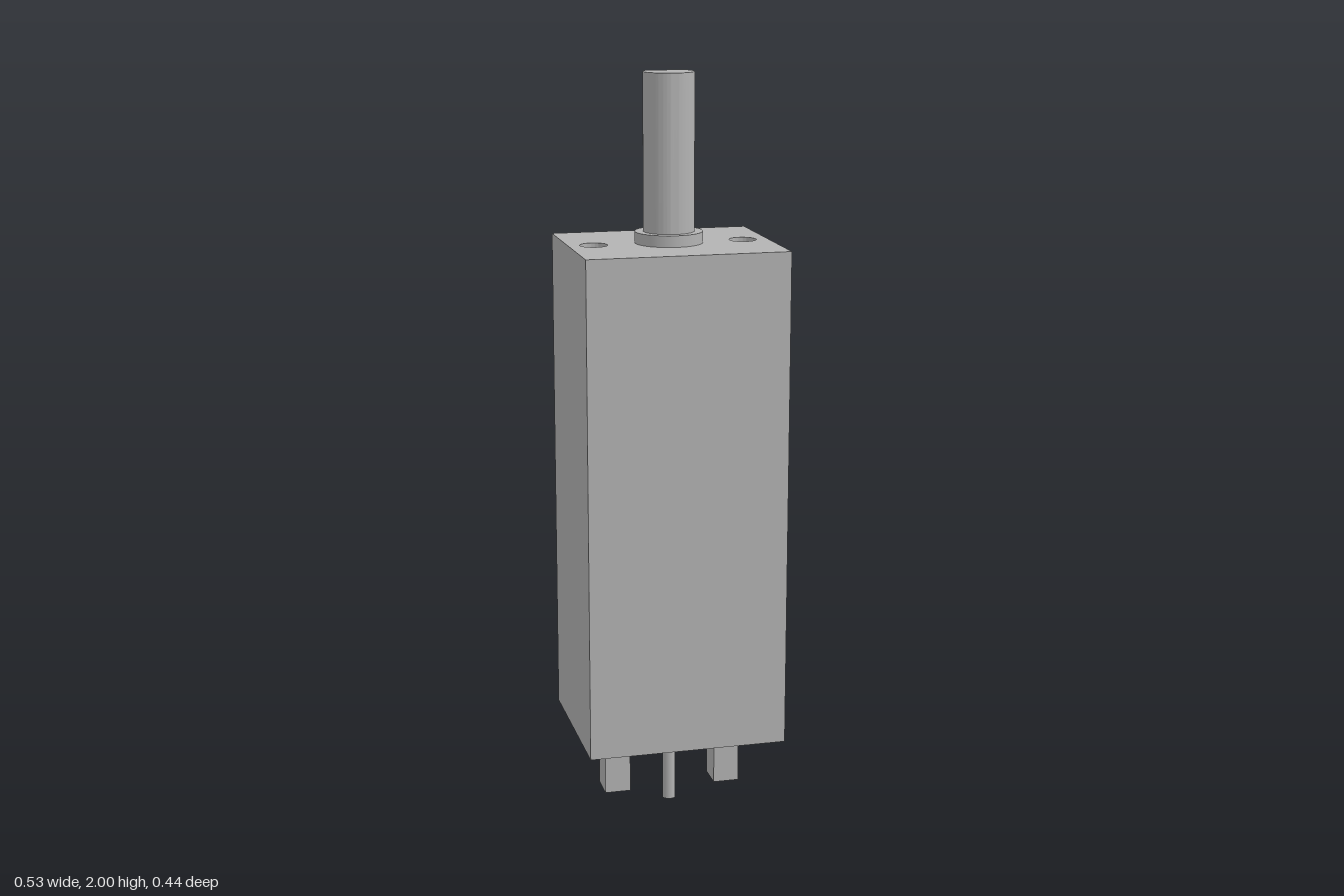
import * as THREE from 'three';
import { toCreasedNormals } from 'three/addons/utils/BufferGeometryUtils.js';

const W = 0.534, D = 0.444;            // housing width and depth
const BASE = 0.227, TOP = 1.56;        // housing bottom and top
const HOLE_DEPTH = 0.13;

export function createModel() {
  const model = new THREE.Group();
  model.name = 'gearMotor';
  const metal = new THREE.MeshStandardMaterial({ color: 0xb3b3b3 });
  metal.name = 'grey metal';

  const add = (name, geometry, x, y, z, parent = model) => {
    const mesh = new THREE.Mesh(geometry, metal);
    mesh.name = name;
    mesh.position.set(x, y, z);
    parent.add(mesh);
    return mesh;
  };

  // Extrudes a plan shape upward; shape y becomes -z
  const extrudeUp = (shape, height) => {
    const g = new THREE.ExtrudeGeometry(shape, { depth: height, bevelEnabled: false, curveSegments: 48 });
    g.rotateX(-Math.PI / 2);
    return toCreasedNormals(g, Math.PI / 6);
  };

  // Housing: solid lower block and a top block with two blind screw holes
  const housing = new THREE.Group();
  housing.name = 'housing';
  model.add(housing);
  const lowerHeight = TOP - HOLE_DEPTH - BASE;
  add('housingBlock', new THREE.BoxGeometry(W, lowerHeight, D), 0, BASE + lowerHeight / 2, 0, housing);

  const plate = new THREE.Shape([
    new THREE.Vector2(-W / 2, -D / 2), new THREE.Vector2(W / 2, -D / 2),
    new THREE.Vector2(W / 2, D / 2), new THREE.Vector2(-W / 2, D / 2),
  ]);
  for (const side of [-1, 1]) {
    plate.holes.push(new THREE.Path().absarc(side * 0.2, 0, 0.036, 0, Math.PI * 2, true));
  }
  add('housingTop', extrudeUp(plate, HOLE_DEPTH), 0, TOP - HOLE_DEPTH, 0, housing);

  // Bearing collar
  add('collar', new THREE.CylinderGeometry(0.089, 0.089, 0.03, 64), 0, TOP + 0.015, 0);

  // D-shaped output shaft, flat towards the back
  const flat = Math.asin(0.0445 / 0.067);
  const dShape = new THREE.Shape().absarc(0, 0, 0.067, Math.PI - flat, Math.PI * 2 + flat, false);
  dShape.closePath();
  add('shaft', extrudeUp(dShape, 2 - TOP), 0, TOP, 0);

  // Underside: rear shaft pin and a pair of terminals
  add('rearPin', new THREE.CylinderGeometry(0.018, 0.018, BASE, 32), 0, BASE / 2, 0);
  const terminalHeight = BASE - 0.047;
  for (const side of [-1, 1]) {
    add(side > 0 ? 'leftTerminal' : 'rightTerminal',
      new THREE.BoxGeometry(0.07, terminalHeight, 0.08), side * 0.154, BASE - terminalHeight / 2, 0);
  }
  return model;
}
